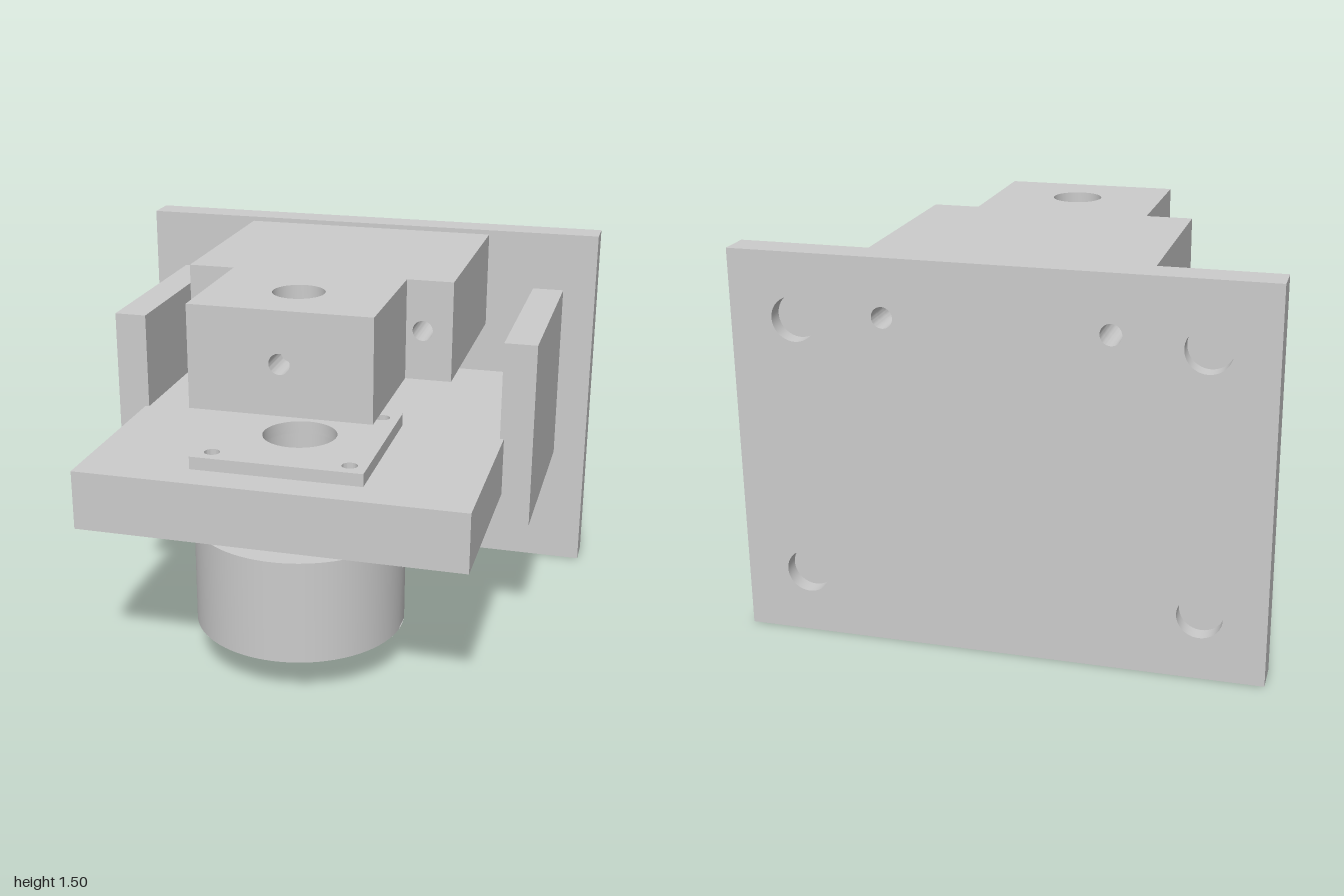
import * as THREE from 'three';
import { toCreasedNormals } from 'three/addons/utils/BufferGeometryUtils.js';

const grey = new THREE.MeshStandardMaterial({ color: 0xcccccc });
const greyBoth = new THREE.MeshStandardMaterial({ color: 0xcccccc, side: THREE.DoubleSide });

// Rectangle a0..a1 by b0..b1 with round holes given as [a, b, radius]
function plateShape(a0, a1, b0, b1, holes = []) {
  const shape = new THREE.Shape();
  shape.moveTo(a0, b0).lineTo(a1, b0).lineTo(a1, b1).lineTo(a0, b1).closePath();
  for (const [a, b, r] of holes) {
    const hole = new THREE.Path();
    hole.absarc(a, b, r, 0, Math.PI * 2, true);
    shape.holes.push(hole);
  }
  return shape;
}

function extrude(shape, depth) {
  const g = new THREE.ExtrudeGeometry(shape, { depth, bevelEnabled: false, curveSegments: 24 });
  return toCreasedNormals(g, 0.6);
}

function add(parent, name, geometry, material = grey) {
  const mesh = new THREE.Mesh(geometry, material);
  mesh.name = name;
  parent.add(mesh);
  return mesh;
}

// Slab in the x-y plane, drilled along z
function drilledZ(parent, name, [x0, x1], [y0, y1], [z0, z1], holes) {
  return add(parent, name, extrude(plateShape(x0, x1, y0, y1, holes), z1 - z0).translate(0, 0, z0));
}

// Slab in the x-z plane, drilled along y; holes are [x, z, radius]
function drilledY(parent, name, [x0, x1], [y0, y1], [z0, z1], holes) {
  const shape = plateShape(x0, x1, -z1, -z0, holes.map(([x, z, r]) => [x, -z, r]));
  return add(parent, name, extrude(shape, y1 - y0).rotateX(-Math.PI / 2).translate(0, y0, 0));
}

// Drum with a centre bore and a radial set screw hole on its +x side
function makeDrum(R, bore, y0, y1, holeY, holeR) {
  const drum = new THREE.Group();
  drum.name = 'drum';
  const half = 0.05, gap = Math.asin(half / R);
  const lathe = (name, points, start = 0, length = Math.PI * 2) =>
    add(drum, name, new THREE.LatheGeometry(points.map(p => new THREE.Vector2(...p)), 96, start, length), greyBoth);
  lathe('drumWall', [[R, y0], [R, y1]], Math.PI / 2 + gap, Math.PI * 2 - 2 * gap);
  lathe('drumBottom', [[bore, y0], [R, y0]]);
  lathe('drumTop', [[R, y1], [bore, y1]]);
  lathe('drumBore', [[bore, y1], [bore, y0]]);

  // Remaining strip of wall, bent onto the cylinder around the hole
  const strip = new THREE.ShapeGeometry(plateShape(-half, half, y0, y1, [[0, holeY, holeR]]), 24);
  const pos = strip.attributes.position, normal = strip.attributes.normal;
  for (let i = 0; i < pos.count; i++) {
    const s = pos.getX(i), x = Math.sqrt(R * R - s * s);
    pos.setXYZ(i, x, pos.getY(i), -s);
    normal.setXYZ(i, x / R, 0, -s / R);
  }
  add(drum, 'drumWallStrip', strip, greyBoth);

  const tube = new THREE.CylinderGeometry(holeR, holeR, R - bore, 32, 1, true).rotateZ(Math.PI / 2);
  add(drum, 'setScrewHole', tube.translate((R + bore) / 2, holeY, 0), greyBoth);
  return drum;
}

export function createModel() {
  const model = new THREE.Group();
  model.name = 'bracketAssembly';
  const axisZ = 0.39;
  const boltHoles = [-0.416, 0.416].map(x => [x, 1.285, 0.04]);

  // Back plate: small through holes, and large blind holes sunk from the back
  const corners = [];
  for (const x of [-0.755, 0.755]) for (const y of [0.25, 1.255]) corners.push([x, y, 0.085]);
  drilledZ(model, 'backPlateFront', [-1, 1], [0, 1.505], [-0.795, -0.73], boltHoles);
  drilledZ(model, 'backPlateRear', [-1, 1], [0, 1.505], [-0.857, -0.795], [...boltHoles, ...corners]);

  // Upper arm: wide body, bored neck, and nose with a front set screw hole
  const arm = new THREE.Group();
  arm.name = 'upperArm';
  model.add(arm);
  const armY = [1.087, 1.486];
  drilledZ(arm, 'armBody', [-0.533, 0.533], armY, [-0.73, 0.107], boltHoles);
  drilledY(arm, 'armNeck', [-0.35, 0.35], armY, [0.107, 0.5], [[0, axisZ, 0.1]]);
  drilledZ(arm, 'armNose', [-0.35, 0.35], armY, [0.5, 0.655], [[0, 1.285, 0.04]]);

  // Side panels
  for (const side of [1, -1]) {
    const panel = add(model, side > 0 ? 'leftPanel' : 'rightPanel', new THREE.BoxGeometry(0.13, 0.748, 0.837));
    panel.position.set(side * 0.799, 0.887, -0.3115);
  }

  // Table with a bearing pad above and below
  const shaftHole = [0, axisZ, 0.145];
  drilledY(model, 'table', [-0.75, 0.75], [0.637, 0.87], [-0.73, 0.857], [shaftHole]);
  const padHoles = [shaftHole];
  for (const x of [-0.265, 0.265]) for (const dz of [-0.265, 0.265]) padHoles.push([x, axisZ + dz, 0.03]);
  const padZ = [axisZ - 0.333, axisZ + 0.333];
  drilledY(model, 'upperPad', [-0.333, 0.333], [0.87, 0.92], padZ, padHoles);
  drilledY(model, 'lowerPad', [-0.333, 0.333], [0.587, 0.637], padZ, padHoles);

  // Drum below the table
  const drum = makeDrum(0.416, 0.07, 0.155, 0.568, 0.436, 0.029);
  drum.position.z = axisZ;
  model.add(drum);

  return model;
}
